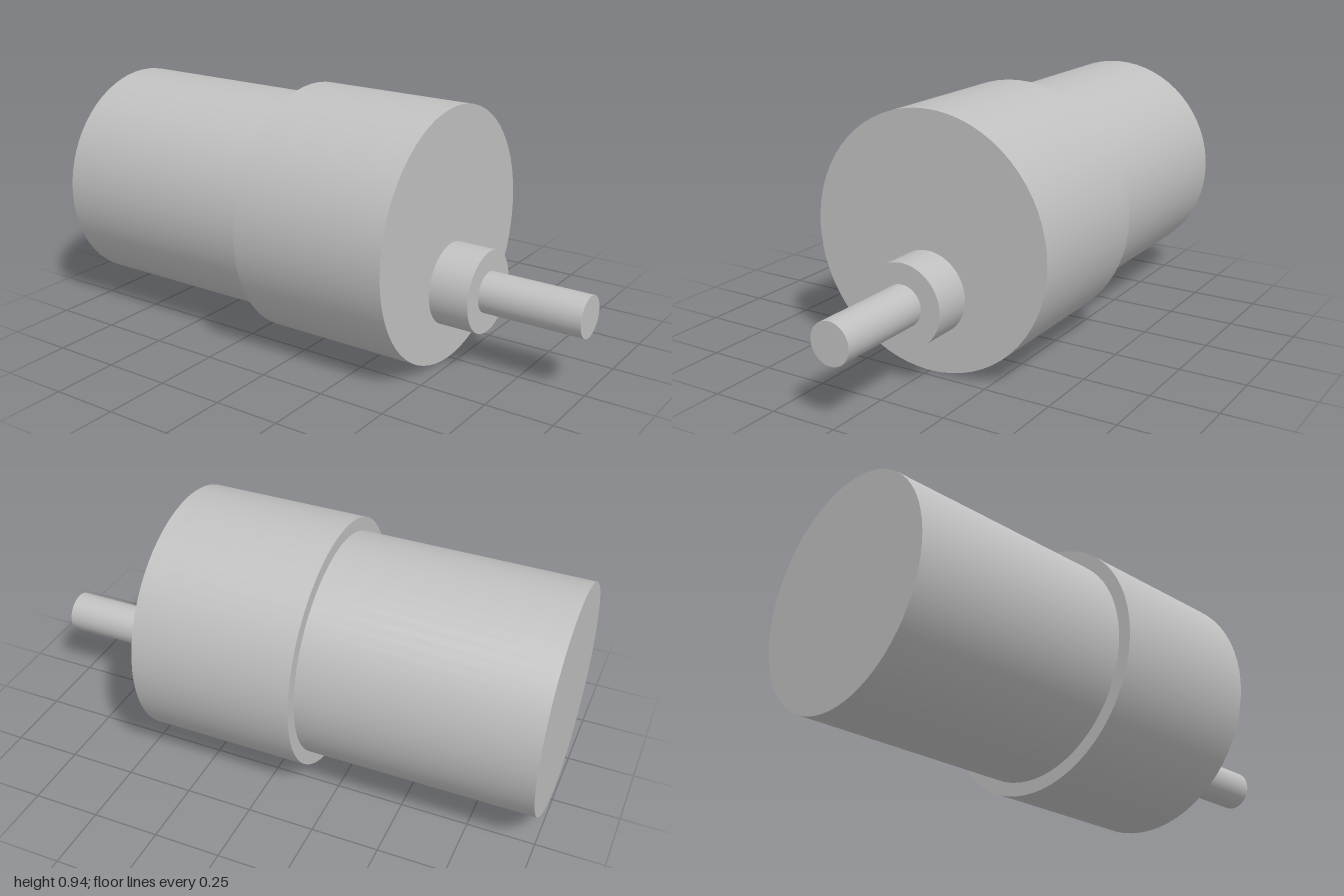
import * as THREE from 'three';

export function createModel() {
  const group = new THREE.Group();
  const metal = new THREE.MeshStandardMaterial({ color: 0xc0c0c0 });
  metal.name = 'grey metal';

  // Solid round section lying along x, from x0 to x1
  function section(name, radius, x0, x1, y, sides) {
    const geometry = new THREE.CylinderGeometry(radius, radius, x1 - x0, sides);
    geometry.rotateZ(-Math.PI / 2);
    const mesh = new THREE.Mesh(geometry, metal);
    mesh.name = name;
    mesh.position.set((x0 + x1) / 2, y, 0);
    group.add(mesh);
  }

  const bodyY = 0.47;
  const shaftY = 0.293; // output is offset below the body axis

  section('motorBody', 0.42, -1, -0.144, bodyY, 64);
  section('gearboxHousing', 0.47, -0.144, 0.466, bodyY, 64);
  section('shaftCollar', 0.152, 0.466, 0.618, shaftY, 64);
  section('outputShaft', 0.076, 0.618, 1, shaftY, 48);

  return group;
}
